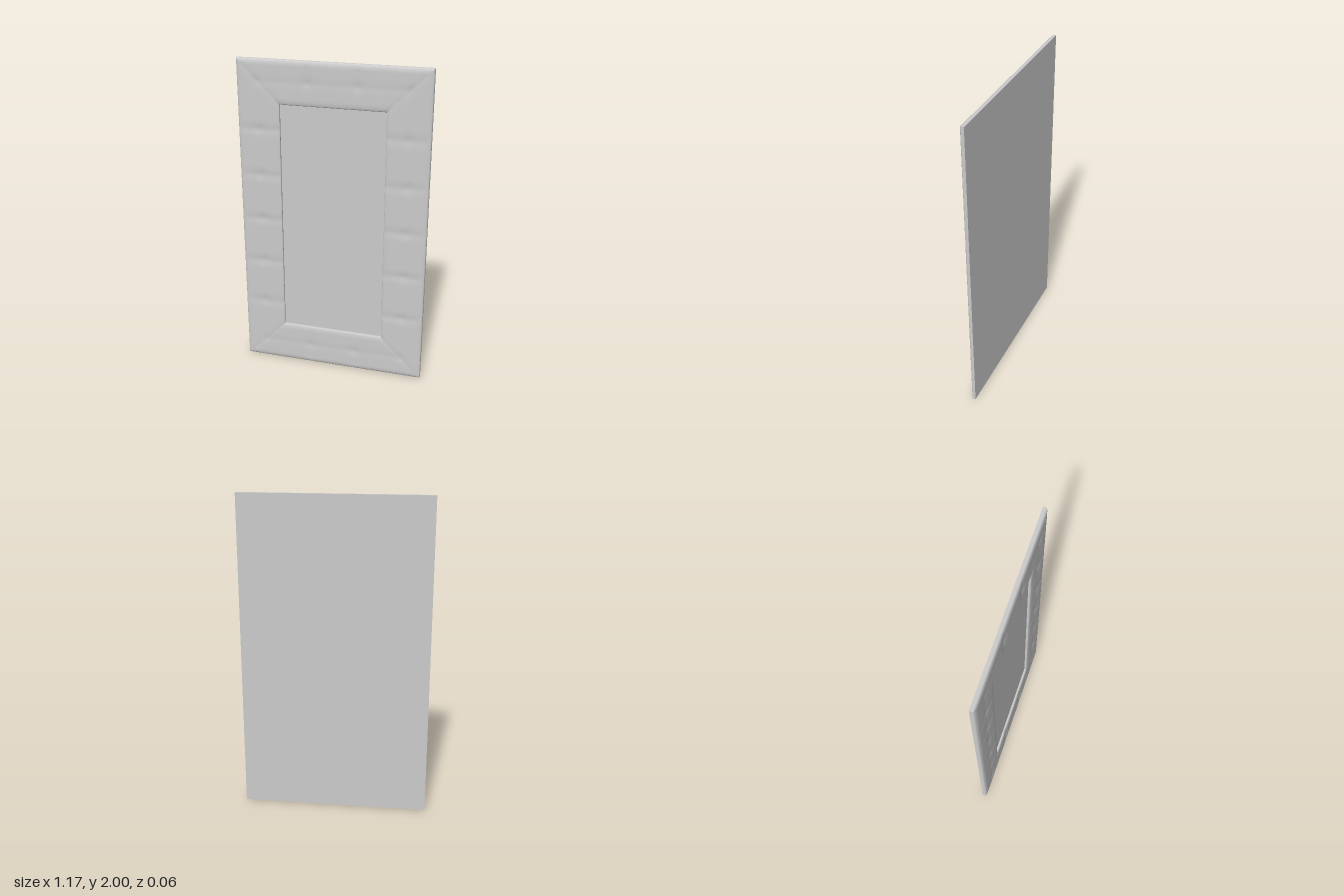
import * as THREE from 'three';

const W = 0.585, H = 1;          // half size of the frame
const IW = 0.323, IH = 0.737;    // half size of the glass opening
const BACK = -0.0175, BASE = -0.006;
const SIDE_SEAMS = [-0.58, -0.29, 0, 0.29, 0.58];
const TOP_SEAMS = [-0.15, 0.15];
const MID_X = 0.455, MID_Y = 0.868;

const bump = (d, r) => Math.exp(-((d / r) ** 2));

// Height of the tufted padding at a point (x, y measured from the middle)
function padHeight(x, y) {
  const dx = W - Math.abs(x), dy = H - Math.abs(y);
  const d = Math.min(dx, dy);
  const e = Math.max(0, Math.max(Math.abs(x) - IW, Math.abs(y) - IH));
  const round = (v, r) => Math.sqrt(Math.max(0, 1 - (1 - Math.min(v / r, 1)) ** 2));
  let z = 0.0135 * round(d, 0.035) - 0.008 * (1 - round(e, 0.04));
  const fade = Math.min(1, d / 0.04);
  let cut = 0.0013 * bump(d - 0.131, 0.02);            // line along the rail
  cut += 0.0012 * bump((dx - dy) * 0.7, 0.015);        // mitre at the corners
  const onSide = dx < dy;
  for (const s of onSide ? SIDE_SEAMS : TOP_SEAMS) {
    const along = (onSide ? y : x) - s;
    cut += 0.0025 * bump(along, 0.025);
    cut += 0.003 * bump(Math.hypot(along, d - 0.131), 0.03);
  }
  cut += 0.002 * bump(Math.hypot(Math.abs(x) - MID_X, Math.abs(y) - MID_Y), 0.03);
  return z - cut * fade;
}

// Surface from a rule: s runs along, u runs across
function surface(rule, ns, nu) {
  const pos = [], index = [];
  for (let i = 0; i <= ns; i++)
    for (let j = 0; j <= nu; j++) pos.push(...rule(i / ns, j / nu));
  for (let i = 0; i < ns; i++)
    for (let j = 0; j < nu; j++) {
      const a = i * (nu + 1) + j, b = a + nu + 1;
      index.push(a, b, a + 1, b, b + 1, a + 1);
    }
  const g = new THREE.BufferGeometry();
  g.setAttribute('position', new THREE.Float32BufferAttribute(pos, 3));
  g.setIndex(index);
  g.computeVertexNormals();
  return g;
}

export function createModel() {
  const model = new THREE.Group();
  const body = new THREE.Group();
  body.name = 'paddedMirror';
  const mat = new THREE.MeshStandardMaterial({ color: 0xcccccc });
  const padMat = new THREE.MeshStandardMaterial({ color: 0xcccccc, side: THREE.DoubleSide });
  const add = (geo, name, m = mat) => {
    const mesh = new THREE.Mesh(geo, m);
    mesh.name = name;
    body.add(mesh);
    return mesh;
  };

  // Backing board and glass
  add(new THREE.BoxGeometry(2 * W, 2 * H, BASE - BACK), 'backBoard').position.z = (BASE + BACK) / 2;
  add(new THREE.BoxGeometry(2 * IW, 2 * IH, 0.002), 'mirrorGlass').position.z = BASE;

  // Four mitred rails, going round counter-clockwise from the bottom
  const corners = [[-1, -1], [1, -1], [1, 1], [-1, 1]];
  ['bottomRail', 'leftRail', 'topRail', 'rightRail'].forEach((name, k) => {
    const a = corners[k], b = corners[(k + 1) % 4];
    const point = (s, u) => {
      const w = W + (IW - W) * u, h = H + (IH - H) * u;
      return [(a[0] + (b[0] - a[0]) * s) * w, (a[1] + (b[1] - a[1]) * s) * h];
    };
    // rows are closer together near both edges
    const ease = (u) => u - Math.sin(2 * Math.PI * u) * 0.12;
    add(surface((s, u) => {
      const [x, y] = point(s, ease(u));
      return [x, y, padHeight(x, y)];
    }, 140, 36), name, padMat);
    // outer and inner edges of the padding
    for (const [u, label] of [[0, 'OuterEdge'], [1, 'InnerEdge']])
      add(surface((s, v) => {
        const [x, y] = point(s, u);
        const t = u === 0 ? v : 1 - v;
        return [x, y, BASE + (padHeight(x, y) - BASE) * t];
      }, 140, 1), name + label, padMat);
  });

  // The whole piece stands turned very slightly
  body.rotation.y = -0.0214;
  body.position.y = H;
  model.add(body);
  return model;
}
